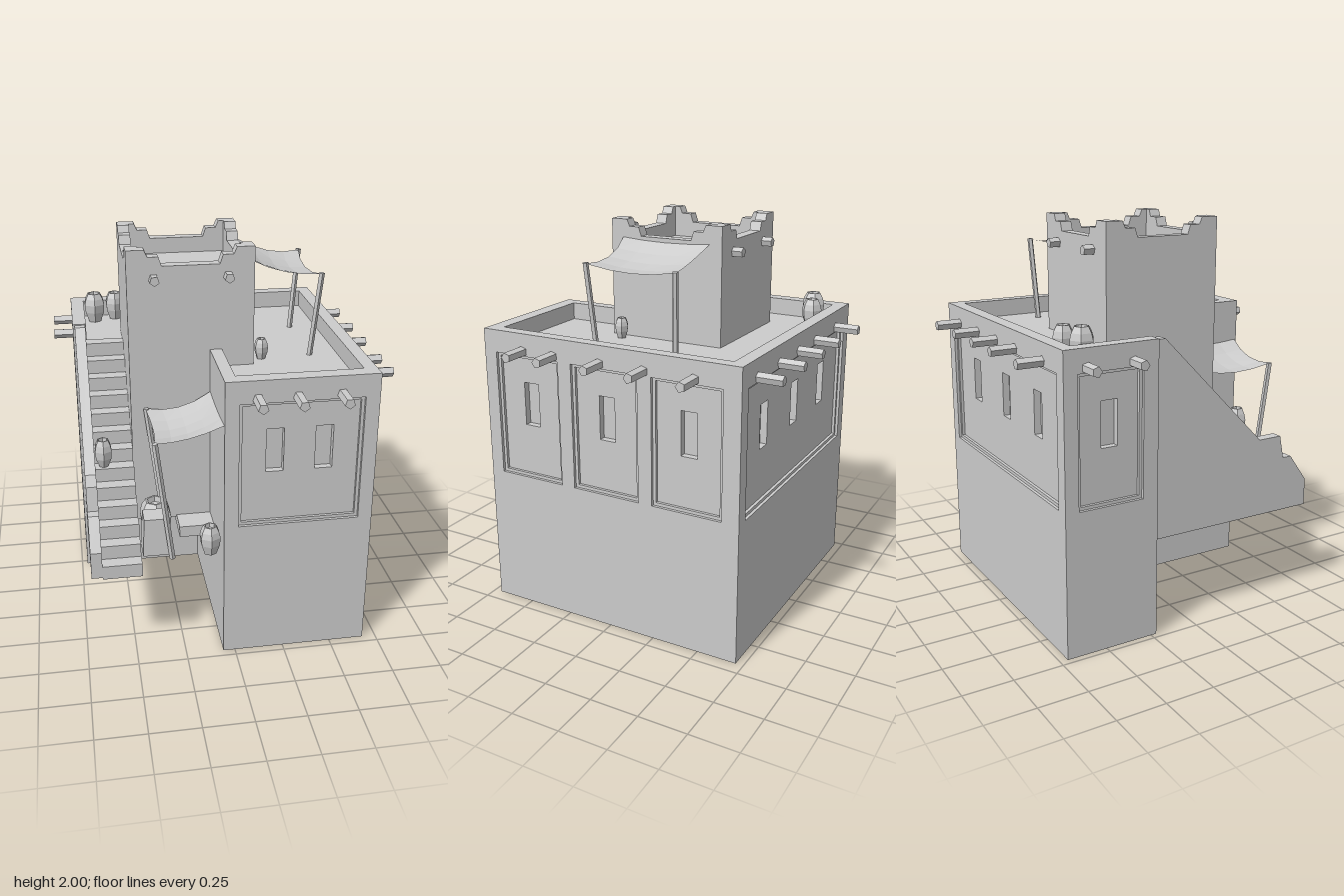
import * as THREE from 'three';
import { mergeGeometries } from 'three/addons/utils/BufferGeometryUtils.js';

const solid = new THREE.MeshStandardMaterial({ color: 0xcccccc, flatShading: true });
const thin = new THREE.MeshStandardMaterial({ color: 0xcccccc, flatShading: true, side: THREE.DoubleSide });
const V = (x, y, z) => new THREE.Vector3(x, y, z);
const ROOF = 1.4, TOP = 1.49;

function add(parent, name, geo, mat = solid) {
  const m = new THREE.Mesh(geo, mat);
  m.name = name;
  parent.add(m);
  return m;
}
const shapeOf = (pts) => new THREE.Shape(pts.map(([x, y]) => new THREE.Vector2(x, y)));
const rect = (x0, y0, x1, y1) => [[x0, y0], [x1, y0], [x1, y1], [x0, y1]];

function box(parent, name, x0, x1, y0, y1, z0, z1) {
  const g = new THREE.BoxGeometry(x1 - x0, y1 - y0, z1 - z0);
  return add(parent, name, g.translate((x0 + x1) / 2, (y0 + y1) / 2, (z0 + z1) / 2));
}

// Flat plate in the XY plane at depth z, with holes
function plate(pts, holes, z) {
  const s = shapeOf(pts);
  holes.forEach((h) => s.holes.push(shapeOf(h)));
  const g = new THREE.ShapeGeometry(s).toNonIndexed().translate(0, 0, z);
  g.deleteAttribute('uv');
  return g;
}

// Polyline in XY swept along z from a to b
function strip(pts, a, b, closed = true) {
  const pos = [], n = pts.length;
  for (let i = 0; i < (closed ? n : n - 1); i++) {
    const [x, y] = pts[i], [u, v] = pts[(i + 1) % n];
    pos.push(x, y, a, u, v, a, u, v, b, x, y, a, u, v, b, x, y, b);
  }
  const g = new THREE.BufferGeometry();
  g.setAttribute('position', new THREE.Float32BufferAttribute(pos, 3));
  g.computeVertexNormals();
  return g;
}

// Wall facing +z with stepped recessed panels; each panel is [x0, x1, window centres]
function wall(parent, name, width, panels, x, z, turn) {
  const parts = [], holes = [];
  for (const [x0, x1, windows] of panels) {
    const outer = rect(x0, 0.73, x1, 1.375);
    const inner = rect(x0 + 0.016, 0.746, x1 - 0.016, 1.359);
    const wins = windows.map((c) => rect(c - 0.043, 1.005, c + 0.043, 1.23));
    holes.push(outer);
    parts.push(strip(outer, 0, -0.015), plate(outer, [inner], -0.015));
    parts.push(strip(inner, -0.015, -0.03), plate(inner, wins, -0.03));
    wins.forEach((w) => parts.push(strip(w, -0.03, -0.065), plate(w, [], -0.065)));
  }
  parts.push(plate(rect(-width / 2, 0, width / 2, TOP), holes, 0));
  const m = add(parent, name, mergeGeometries(parts), thin);
  m.position.set(x, 0, z);
  m.rotation.y = turn;
}

// Straight five-sided rod between two points
function rod(parent, name, a, b, r) {
  const dir = b.clone().sub(a);
  const m = add(parent, name, new THREE.CylinderGeometry(r, r, dir.length(), 5));
  m.position.copy(a).add(b).multiplyScalar(0.5);
  m.quaternion.setFromUnitVectors(V(0, 1, 0), dir.normalize());
}

function pot(parent, x, y, z, r, h, foot = 0.6) {
  const profile = [[0, 0], [foot, 0], [0.93, 0.35], [1, 0.62], [0.86, 0.82], [0.6, 1], [0.48, 1], [0.42, 0.86], [0, 0.86]];
  const g = new THREE.LatheGeometry(profile.map(([a, b]) => new THREE.Vector2(a * r, b * h)), 6);
  add(parent, 'pot', g, thin).position.set(x, y, z);
}

// Sagging cloth between a wall edge (x0, y0) and a pole edge (x1, y1)
function awning(parent, x0, y0, x1, y1, z0, z1) {
  const g = new THREE.PlaneGeometry(1, 1, 4, 4);
  const p = g.attributes.position;
  for (let i = 0; i < p.count; i++) {
    const u = p.getX(i) + 0.5, v = p.getY(i) + 0.5;
    const bu = 4 * u * (1 - u), bv = 4 * v * (1 - v);
    const x = x0 + (x1 - x0) * (u - 0.06 * bv * u);
    const z = z0 + (z1 - z0) * (v + 0.05 * bu * (1 - 2 * v));
    p.setXYZ(i, x, y0 + (y1 - y0) * u - 0.03 * bu - 0.03 * bv * (0.4 + 0.6 * u), z);
  }
  add(parent, 'awningCloth', g, thin);
}

export function createModel() {
  const model = new THREE.Group();
  model.name = 'desertHouse';

  // Outer walls with recessed panels, open underneath
  const house = new THREE.Group();
  house.name = 'house';
  model.add(house);
  wall(house, 'frontWall', 0.74, [[-0.3, 0.3, [-0.122, 0.118]]], 0.31, 0.71, 0);
  wall(house, 'rightWall', 1.42, [-0.455, -0.01, 0.435].map((c) => [c - 0.185, c + 0.185, [c]]), 0.68, 0, Math.PI / 2);
  wall(house, 'backWall', 1.4, [[-0.63, 0.63, [-0.38, 0, 0.37]]], -0.02, -0.71, Math.PI);
  wall(house, 'leftWall', 0.49, [[-0.175, 0.165, [0]]], -0.72, -0.465, -Math.PI / 2);
  const courtyard = strip([[-0.06, 0.71], [-0.06, -0.22], [-0.72, -0.22]], 0, -ROOF, false);
  add(house, 'courtyardWalls', courtyard.rotateX(Math.PI / 2), thin);

  // Roof deck and parapet
  const ell = [[-0.72, -0.71], [0.68, -0.71], [0.68, 0.71], [-0.06, 0.71], [-0.06, -0.22], [-0.72, -0.22]];
  add(house, 'roof', plate(ell, [], -ROOF).rotateX(Math.PI / 2), thin);
  const inner = [[0, 0.26], [0, 0.635], [0.615, 0.635], [0.615, -0.64], [-0.65, -0.64], [-0.65, -0.22]];
  const rim = [[-0.72, -0.22], [-0.72, -0.71], [0.68, -0.71], [0.68, 0.71], [-0.06, 0.71], [-0.06, 0.26], ...inner];
  const parapet = [plate(rim, [], -TOP), strip(inner, -ROOF, -TOP, false),
    strip([[-0.06, 0.71], [-0.06, 0.26], [0, 0.26]], -ROOF, -TOP, false),
    strip([[-0.72, -0.22], [-0.65, -0.22]], -ROOF, -TOP, false)];
  add(house, 'parapet', mergeGeometries(parapet).rotateX(Math.PI / 2), thin);

  // Roof beams poking through the walls
  const beam = (a, b) => rod(house, 'beam', a, b, 0.026);
  [0.095, 0.285, 0.495].forEach((x) => beam(V(x, ROOF, 0.69), V(x, ROOF, 0.835)));
  [-0.51, -0.21, 0.02, 0.26, 0.515].forEach((x) => beam(V(x, ROOF, -0.69), V(x, ROOF, -0.84)));
  [-0.475, -0.21, 0.03, 0.295, 0.475].forEach((z) => beam(V(0.66, ROOF, z), V(0.815, ROOF, z)));
  [-0.595, -0.355].forEach((z) => beam(V(-0.7, ROOF, z), V(-0.82, ROOF, z)));

  // Tower with stepped corner merlons
  const tower = new THREE.Group();
  tower.name = 'tower';
  model.add(tower);
  box(tower, 'towerBody', -0.46, 0.16, 0.56, 1.84, -0.35, 0.27);
  const half = [[0.31, 2], [0.222, 2], [0.207, 1.965], [0.155, 1.965], [0.14, 1.92]];
  const crest = shapeOf([[-0.31, 1.84], [0.31, 1.84], ...half, ...half.map(([x, y]) => [-x, y]).reverse()]);
  for (let i = 0; i < 4; i++) {
    const g = new THREE.ExtrudeGeometry(crest, { depth: 0.06, bevelEnabled: false }).translate(0, 0, 0.25);
    add(tower, 'towerParapet', g.rotateY(i * Math.PI / 2)).position.set(-0.15, 0, -0.04);
  }
  for (const x of [-0.33, 0.03]) {
    rod(tower, 'towerBeam', V(x, 1.86, 0.25), V(x, 1.86, 0.32), 0.025);
    rod(tower, 'towerBeam', V(x, 1.86, -0.33), V(x, 1.86, -0.405), 0.025);
  }

  // Outside stairs with a sloped side wall
  const stairs = new THREE.Group();
  stairs.name = 'stairs';
  model.add(stairs);
  const N = 13, run = 0.9 / N, rise = (ROOF + 0.01 - 0.49) / N;
  for (let i = 0; i < N; i++) {
    box(stairs, 'step', -0.655, -0.46, 0.49, 0.49 + rise * (i + 1), 0.7 - run * (i + 1), 0.7 - run * i);
  }
  const side = shapeOf([[-0.22, 0.5], [0.7, 0.5], [0.7, 0.64], [0.595, 0.785], [0.545, 0.785],
    [0.52, 0.905], [0.39, 0.905], [-0.18, 1.485], [-0.22, 1.485]]);
  const sideGeo = new THREE.ExtrudeGeometry(side, { depth: 0.055, bevelEnabled: false });
  add(stairs, 'stairSideWall', sideGeo.rotateY(-Math.PI / 2)).position.x = -0.655;

  // Doorstep and tapered crate in the courtyard
  box(model, 'doorstep', -0.24, -0.06, 0.51, 0.57, 0.2, 0.4);
  const crate = new THREE.CylinderGeometry(0.075, 0.09, 0.195, 4).rotateY(Math.PI / 4);
  add(model, 'crate', crate).position.set(-0.39, 0.682, 0.61);

  // Pots
  pot(model, -0.59, ROOF, -0.55, 0.062, 0.16);
  pot(model, -0.475, ROOF, -0.585, 0.055, 0.15);
  pot(model, 0.215, ROOF, 0.19, 0.037, 0.105);
  pot(model, -0.61, 0.91, 0.315, 0.048, 0.15, 0.45);
  pot(model, -0.37, 0.58, 0.47, 0.087, 0.2);
  pot(model, -0.125, 0.585, 0.685, 0.055, 0.15);

  // Awnings with leaning poles
  const awnings = new THREE.Group();
  awnings.name = 'awnings';
  model.add(awnings);
  awning(awnings, 0.16, 1.91, 0.51, 1.83, -0.285, 0.205);
  awning(awnings, -0.06, 1.27, -0.39, 1.2, 0.28, 0.7);
  rod(awnings, 'pole', V(0.47, ROOF, 0.18), V(0.51, 1.835, 0.205), 0.015);
  rod(awnings, 'pole', V(0.47, ROOF, -0.265), V(0.51, 1.835, -0.285), 0.015);
  rod(awnings, 'pole', V(-0.31, 0.56, 0.67), V(-0.385, 1.2, 0.695), 0.015);
  rod(awnings, 'pole', V(-0.31, 0.56, 0.31), V(-0.385, 1.2, 0.285), 0.015);

  return model;
}
